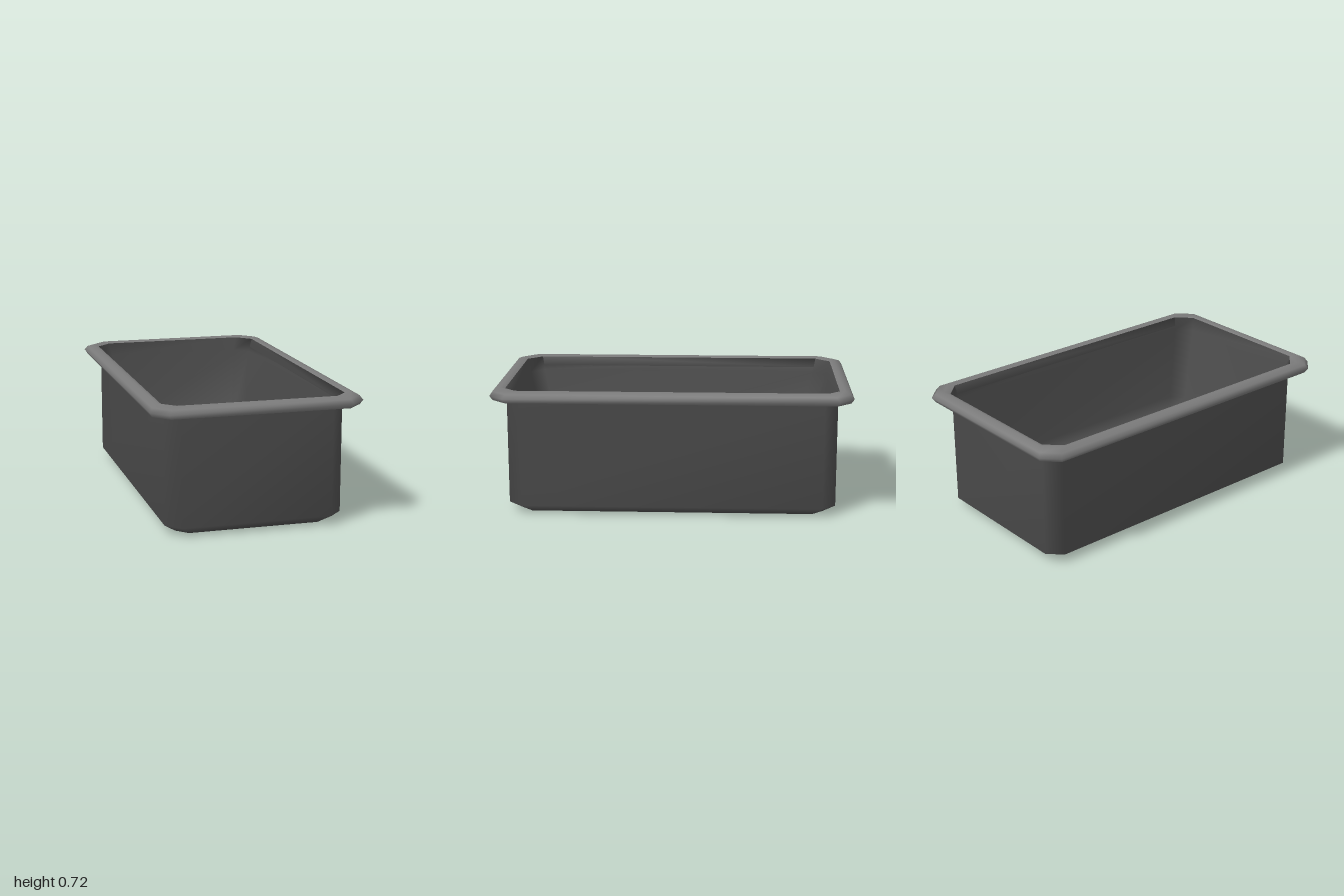
import * as THREE from 'three';

// Corner points of a rectangle with cut corners, in order from +x towards +z
function cutRectangle(hx, hz, cut) {
  return [
    [hx, hz - cut], [hx - cut, hz], [cut - hx, hz], [-hx, hz - cut],
    [-hx, cut - hz], [cut - hx, -hz], [hx - cut, -hz], [hx, cut - hz],
  ];
}

// Smooth skin over a run of rings, each [half width, half depth, y, corner cut]
function loft(rings) {
  const positions = [], index = [], n = 8;
  for (const [hx, hz, y, cut] of rings) {
    for (const [x, z] of cutRectangle(hx, hz, cut)) positions.push(x, y, z);
  }
  for (let j = 0; j < rings.length - 1; j++) {
    const lower = j * n, upper = lower + n;
    for (let i = 0; i < n; i++) {
      const k = (i + 1) % n;
      index.push(lower + i, upper + i, lower + k, lower + k, upper + i, upper + k);
    }
  }
  const geometry = new THREE.BufferGeometry();
  geometry.setAttribute('position', new THREE.Float32BufferAttribute(positions, 3));
  geometry.setIndex(index);
  geometry.computeVertexNormals();
  return geometry;
}

export function createModel() {
  const group = new THREE.Group();
  const darkMetal = new THREE.MeshStandardMaterial({ name: 'dark metal', color: 0x4a4a4a, side: THREE.DoubleSide });
  const rimMetal = new THREE.MeshStandardMaterial({ name: 'rim metal', color: 0x7a7a7a, side: THREE.DoubleSide });

  // Pan: underside, bevel, straight outer wall, then tapered inner wall and floor
  const pan = new THREE.Mesh(loft([
    [0, 0, 0, 0],
    [0.38, 0.81, 0, 0.05],
    [0.42, 0.85, 0, 0.06],
    [0.49, 0.918, 0.05, 0.075],
    [0.49, 0.918, 0.66, 0.075],
    [0.505, 0.925, 0.708, 0.083],
    [0.482, 0.905, 0.63, 0.08],
    [0.425, 0.805, 0.21, 0.065],
    [0.38, 0.735, 0.15, 0.045],
    [0, 0, 0.15, 0],
  ]), darkMetal);
  pan.name = 'pan';
  group.add(pan);

  // Rolled rim, from the outer wall round to the inner edge of the opening
  const rim = new THREE.Mesh(loft([
    [0.489, 0.917, 0.638, 0.075],
    [0.565, 0.985, 0.655, 0.08],
    [0.58, 1.0, 0.68, 0.083],
    [0.565, 0.985, 0.703, 0.083],
    [0.53, 0.95, 0.718, 0.083],
    [0.504, 0.924, 0.708, 0.083],
  ]), rimMetal);
  rim.name = 'rim';
  group.add(rim);

  return group;
}
